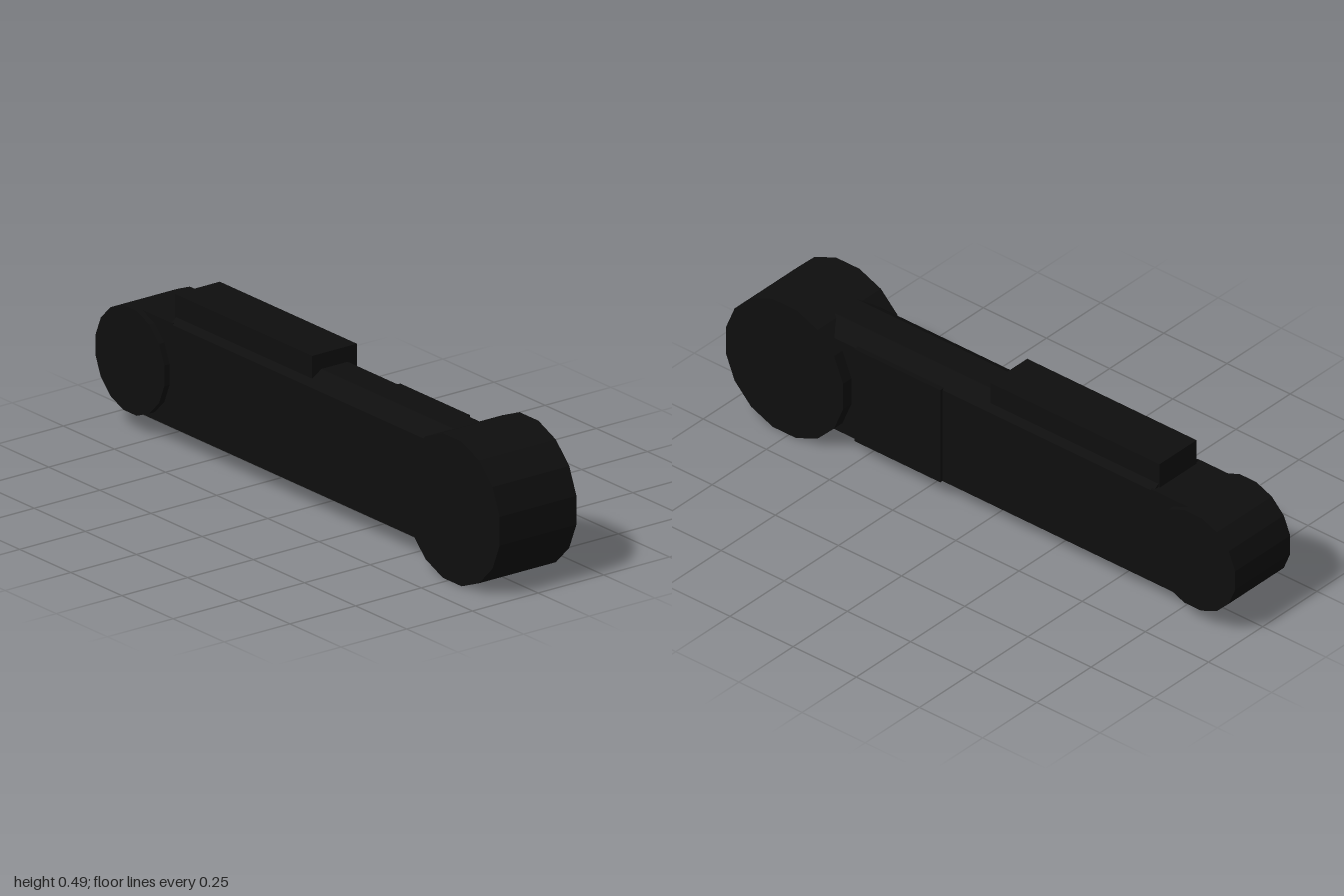
import * as THREE from 'three';

export function createModel() {
  const group = new THREE.Group();
  const black = new THREE.MeshStandardMaterial({ color: 0x0e0e0e, flatShading: true });
  black.name = 'matteBlack';

  const add = (name, geometry, x, y, z) => {
    const mesh = new THREE.Mesh(geometry, black);
    mesh.name = name;
    mesh.position.set(x, y, z);
    group.add(mesh);
    return mesh;
  };

  // Box given by its limits along each axis
  const box = (name, x0, x1, y0, y1, z0, z1) =>
    add(name, new THREE.BoxGeometry(x1 - x0, y1 - y0, z1 - z0),
      (x0 + x1) / 2, (y0 + y1) / 2, (z0 + z1) / 2);

  // Sixteen-sided joint drum along z, with flats at top, bottom and sides
  const drum = (name, x, flatRadius, halfDepth) => {
    const r = flatRadius / Math.cos(Math.PI / 16);
    const g = new THREE.CylinderGeometry(r, r, halfDepth * 2, 16);
    g.rotateY(Math.PI / 16).rotateX(Math.PI / 2);
    return add(name, g, x, 0.232, 0);
  };

  drum('largeJoint', 0.768, 0.232, 0.146);
  drum('smallJoint', -0.832, 0.168, 0.127);

  // Arm body with sloping shoulders, extruded along x
  const half = [[0.107, 0.065], [0.107, 0.395], [0.085, 0.412], [0.05, 0.435]];
  const outline = [...half, ...half.map(([z, y]) => [-z, y]).reverse()];
  const section = new THREE.Shape(outline.map(([z, y]) => new THREE.Vector2(z, y)));
  const body = new THREE.ExtrudeGeometry(section, { depth: 1.42, bevelEnabled: false });
  body.rotateY(Math.PI / 2);
  add('armBody', body, -0.66, 0, 0);

  // Lower neck joining the body to the small joint
  box('neck', -0.832, -0.65, 0.065, 0.4, -0.107, 0.107);

  // Raised housing on top and service panel on the back
  box('topHousing', -0.665, 0.005, 0.39, 0.485, -0.085, 0.085);
  box('backPanel', 0.175, 0.515, 0.066, 0.4, -0.118, -0.1);

  return group;
}
